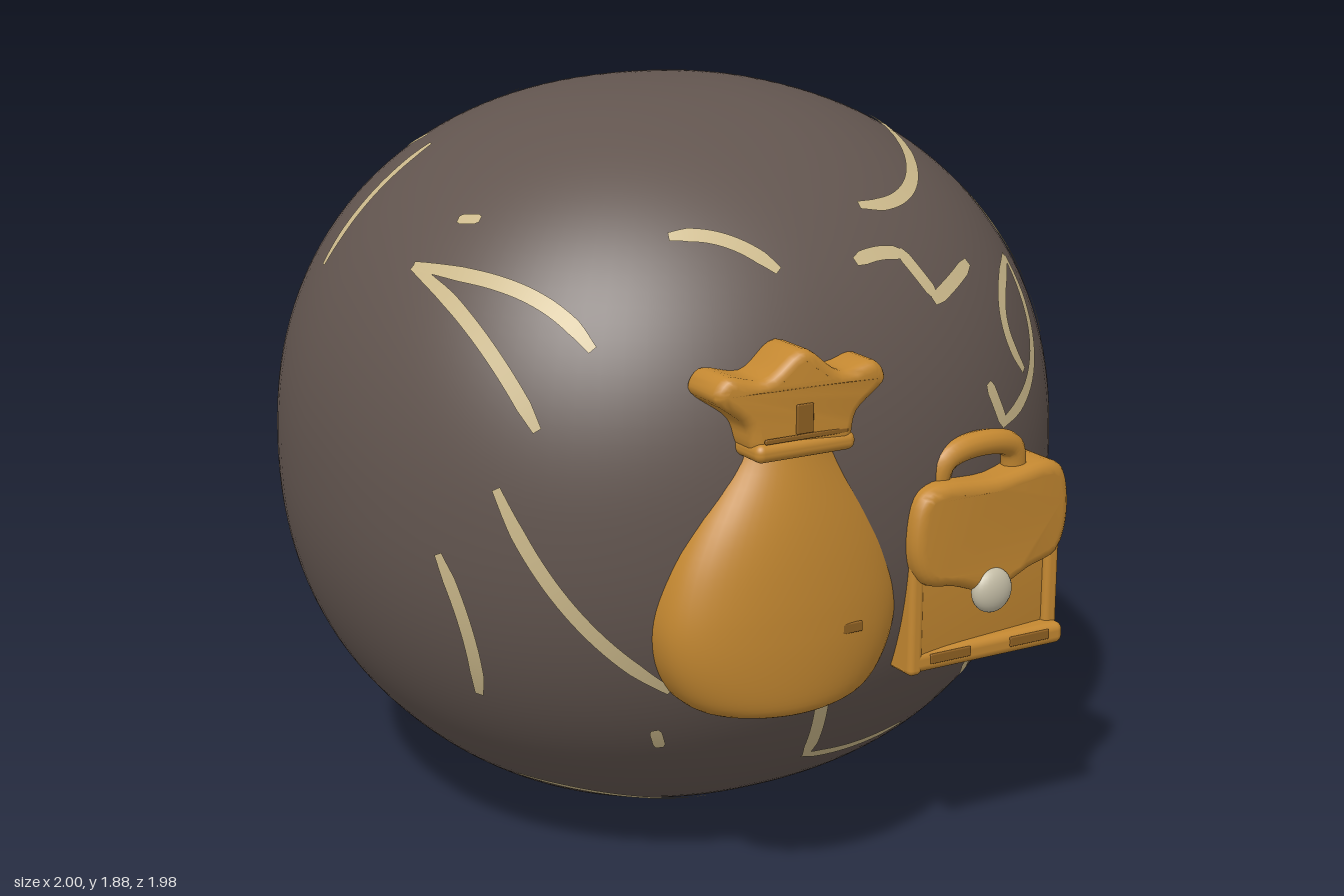
import * as THREE from 'three';
import { mergeVertices, toCreasedNormals } from 'three/addons/utils/BufferGeometryUtils.js';
import { RoundedBoxGeometry } from 'three/addons/geometries/RoundedBoxGeometry.js';

const V = (x, y, z) => new THREE.Vector3(x, y, z);
const material = (name, color, side = THREE.FrontSide) => {
  const m = new THREE.MeshStandardMaterial({ color, side });
  m.name = name;
  return m;
};
const stone = material('stone brown', 0x62554f);
const cream = material('vein cream', 0xcdba8c, THREE.DoubleSide);
const leather = material('ochre', 0xc48831);
const shade = material('dark ochre', 0x8f6022);
const pearl = material('clasp grey', 0xc4bda6);

function mesh(name, geometry, mat, x = 0, y = 0, z = 0) {
  const m = new THREE.Mesh(geometry, mat);
  m.name = name;
  m.position.set(x, y, z);
  return m;
}

// Ball: a slightly squared spheroid around its centre
const CENTRE = V(0, 0.94, -0.03), RADII = V(1, 0.94, 0.965), POWER = 2.2;
const AXES = ['x', 'y', 'z'];
const inside = p => AXES.reduce((sum, a) => sum + Math.abs(p[a] / RADII[a]) ** POWER, 0);
const snap = p => p.multiplyScalar(inside(p) ** (-1 / POWER));
const normalAt = p => V(...AXES.map(a =>
  Math.sign(p[a]) * Math.abs(p[a] / RADII[a]) ** (POWER - 1) / RADII[a])).normalize();

function ballGeometry() {
  const g = new THREE.SphereGeometry(1, 112, 80);
  const pos = g.attributes.position, nor = g.attributes.normal;
  for (let i = 0; i < pos.count; i++) {
    const p = snap(V(pos.getX(i), pos.getY(i), pos.getZ(i)));
    const n = normalAt(p);
    pos.setXYZ(i, p.x, p.y, p.z);
    nor.setXYZ(i, n.x, n.y, n.z);
  }
  return g;
}

// Drops a flat drawing point onto the ball along a direction (azimuth, elevation in degrees)
function project(u, v, { az, el, u0 = 0, v0 = 0 }) {
  const a = az * Math.PI / 180, e = el * Math.PI / 180;
  const right = V(Math.cos(a), 0, -Math.sin(a));
  const up = V(-Math.sin(e) * Math.sin(a), Math.cos(e), -Math.sin(e) * Math.cos(a));
  const dir = V(Math.cos(e) * Math.sin(a), Math.sin(e), Math.cos(e) * Math.cos(a));
  const base = right.multiplyScalar(u - u0).addScaledVector(up, v - v0);
  let lo = 0, hi = 2;
  for (let i = 0; i < 30; i++) {
    const mid = (lo + hi) / 2;
    if (inside(base.clone().addScaledVector(dir, mid)) < 1) lo = mid; else hi = mid;
  }
  return snap(base.addScaledVector(dir, lo));
}

// Thin tapered ribbon on the ball, bowed to the left of its direction by bend
function ribbon([ua, va, ub, vb, bend = 0], side, width = 0.038) {
  const du = ub - ua, dv = vb - va, k = 2 * bend / Math.hypot(du, dv);
  const flat = new THREE.QuadraticBezierCurve(new THREE.Vector2(ua, va),
    new THREE.Vector2((ua + ub) / 2 - dv * k, (va + vb) / 2 + du * k), new THREE.Vector2(ub, vb));
  const curve = new THREE.CatmullRomCurve3(flat.getPoints(6).map(p => project(p.x, p.y, side)), false, 'centripetal');
  const n = 24, pos = [], nor = [], idx = [];
  for (let i = 0; i <= n; i++) {
    const t = i / n, p = snap(curve.getPoint(t)), m = normalAt(p);
    const across = m.clone().cross(curve.getTangent(t)).normalize();
    const w = width / 2 * (0.6 + 0.4 * Math.min(1, 6 * Math.min(t, 1 - t)));
    p.addScaledVector(m, 0.004);
    for (const s of [1, -1]) {
      pos.push(...p.clone().addScaledVector(across, s * w).toArray());
      nor.push(...m.toArray());
    }
    if (i < n) idx.push(2 * i, 2 * i + 1, 2 * i + 3, 2 * i, 2 * i + 3, 2 * i + 2);
  }
  const g = new THREE.BufferGeometry();
  g.setAttribute('position', new THREE.Float32BufferAttribute(pos, 3));
  g.setAttribute('normal', new THREE.Float32BufferAttribute(nor, 3));
  g.setIndex(idx);
  return g;
}

// Veins of one side: bowed lines, and short flecks that all slant the same way
function addVeins(ball, name, side, lines, flecks) {
  for (const line of lines) ball.add(mesh(name + 'Vein', ribbon(line, side), cream));
  for (const [u, v] of flecks)
    ball.add(mesh(name + 'Fleck', ribbon([u - .015, v + .03, u + .015, v - .03], side, .03), cream));
}

function createBall() {
  const ball = new THREE.Group();
  ball.name = 'veinedBall';
  ball.position.copy(CENTRE);
  ball.add(mesh('ball', ballGeometry(), stone));
  addVeins(ball, 'front', { az: 0, el: 0, v0: CENTRE.y }, [
    [-.81, 1.51, -.59, 1.38, .05], [-.81, 1.51, -.72, 1.2], [-.36, 1.61, -.14, 1.53, .03],
    [.15, 1.64, .51, 1.76, -.05], [.07, 1.53, .22, 1.53, .01], [.21, 1.54, .28, 1.43], [.27, 1.42, .44, 1.48],
    [.41, 1.21, .46, 1.1], [.45, 1.1, .65, 1.45, -.11], [.58, 1.2, .65, 1.45, .09],
    [-.8, 1.06, -.45, .56, -.06], [-.89, .88, -.79, .51], [-.06, .5, -.01, .28], [-.02, .28, .3, .29, -.02],
    [-.6, .2, -.12, .08]],
  [[-.44, .41], [.47, .42], [.58, .29]]);
  addVeins(ball, 'left', { az: 90, el: 0, u0: -CENTRE.z, v0: CENTRE.y }, [
    [-.21, 1.35, -.28, 1.02, .02], [-.21, 1.34, -.07, 1.25], [-.08, 1.25, .28, 1.2, .035],
    [-.07, 1.25, -.29, 1.02, .01], [-.2, 1.35, 0, 1.38], [-.22, 1.6, -.57, 1.24],
    [-.2, .8, -.19, .66], [-.19, .66, -.07, .54], [-.49, .28, -.27, .42, .1], [-.27, .42, -.34, .27],
    [-.34, .27, -.26, .13]],
  [[.21, .46], [.28, .59], [-.16, .46]]);
  addVeins(ball, 'top', { az: 0, el: 90, v0: -CENTRE.z },
    [[-.86, .24, -.58, .19]], [[-.32, .51], [-.55, .33], [-.69, -.25], [-.25, .35]]);
  addVeins(ball, 'back', { az: 215, el: 24 },
    [[-.55, -.02, -.33, -.02], [-.4, .13, -.39, -.01], [-.25, .27, -.33, .16]], [[.35, -.13]]);
  addVeins(ball, 'lowerBack', { az: 138, el: -31 },
    [[-.06, -.37, -.01, -.44], [-.02, -.43, .21, -.5], [.2, -.5, .29, -.42]], [[-.34, -.4], [.38, -.15]]);
  return ball;
}

// Bevelled slab from an outline, between two depths, curved back around the ball
function slab(points, z0, z1, bevel) {
  const shape = new THREE.Shape(points.map(p => new THREE.Vector2(...p)));
  const g = new THREE.ExtrudeGeometry(shape, { depth: z1 - z0 - 2 * bevel, bevelSize: bevel,
    bevelThickness: bevel, bevelOffset: -bevel, bevelSegments: 4 });
  const pos = g.attributes.position;
  for (let i = 0; i < pos.count; i++) pos.setZ(i, pos.getZ(i) + z0 + bevel - 0.15 * pos.getX(i) ** 2);
  return toCreasedNormals(g, 0.9);
}
// Closed smooth outline from its right half, mirrored about x = cx
function mirroredOutline(half, cx) {
  const other = half.filter(p => p[0] > 0).reverse().map(([x, y]) => [-x, y]);
  return new THREE.CatmullRomCurve3([...half, ...other].map(([x, y]) => V(cx + x, y, 0)), true, 'centripetal')
    .getPoints(66).slice(0, -1).map(p => [p.x, p.y]);
}

function createSack() {
  const sack = new THREE.Group();
  sack.name = 'sack';
  // Pear-shaped body, flattened in depth
  const profile = [[0, .5], [.14, .505], [.24, .535], [.3, .62], [.322, .73], [.3, .85], [.245, .97], [.14, 1.13], [.12, 1.2]];
  const line = new THREE.SplineCurve(profile.map(p => new THREE.Vector2(...p))).getPoints(40);
  let body = new THREE.LatheGeometry(line.map(p => new THREE.Vector2(Math.max(p.x, 0), p.y)), 56);
  const pos = body.attributes.position;
  for (let i = 0; i < pos.count; i++) {
    const x = pos.getX(i), z = pos.getZ(i), r = Math.hypot(x, z);
    if (r < 1e-5) continue;
    const s = z / r, depth = 0.17 * Math.min(1, r / 0.32) ** 0.35;
    pos.setZ(i, Math.sign(s) * Math.abs(s) ** 0.75 * depth);
  }
  body.deleteAttribute('uv');
  body.deleteAttribute('normal');
  body = mergeVertices(body, 1e-4);
  body.computeVertexNormals();
  sack.add(mesh('sackBody', body, leather, -.19, 0, .82));
  // Ruffled mouth, tie and creases
  const mouth = [[.12, 1.16], [.145, 1.23], [.222, 1.3], [.195, 1.345], [.1, 1.333], [0, 1.395]];
  sack.add(mesh('sackMouth', slab(mirroredOutline(mouth, -.198), .82, .972, .025), leather));
  sack.add(mesh('sackTie', new RoundedBoxGeometry(.27, .045, .15, 4, .02), leather, -.195, 1.165, .9));
  sack.add(mesh('tieCrease', new RoundedBoxGeometry(.225, .012, .008, 2, .003), shade, -.195, 1.193, .967));
  sack.add(mesh('mouthCrease', new RoundedBoxGeometry(.045, .07, .008, 2, .003), shade, -.2, 1.235, .966));
  sack.add(mesh('sackMark', new RoundedBoxGeometry(.06, .025, .008, 2, .003), shade, -.07, .71, .98));
  return sack;
}

function createBriefcase() {
  const bag = new THREE.Group();
  bag.name = 'briefcase';
  bag.add(mesh('caseBody', slab([[.13, .54], [.6, .53], [.595, .98], [.14, .98]], .78, .94, .025), leather));
  // Raised edges around the lower panel
  bag.add(mesh('caseBottomEdge', new RoundedBoxGeometry(.47, .055, .19, 3, .02), leather, .365, .562, .845));
  for (const [x, z] of [[.15, .87], [.58, .84]])
    bag.add(mesh('caseSideEdge', new RoundedBoxGeometry(.04, .3, .14, 3, .015), leather, x, .68, z));
  for (const x of [.25, .49])
    bag.add(mesh('caseMark', new RoundedBoxGeometry(.12, .025, .008, 2, .003), shade, x, .568, .94));
  // Rounded flap, handle and clasp
  const flap = [[0, .71], [.12, .745], [.215, .77], [.252, .85], [.235, .98], [.19, 1.01], [0, 1]];
  bag.add(mesh('caseFlap', slab(mirroredOutline(flap, .37), .78, .975, .03), leather));
  const arch = new THREE.CatmullRomCurve3([V(.22, .97, .89), V(.24, 1.05, .9), V(.29, 1.075, .9),
    V(.41, 1.075, .89), V(.46, 1.05, .88), V(.475, .97, .87)]);
  bag.add(mesh('caseHandle', new THREE.TubeGeometry(arch, 32, .032, 12), leather));
  const clasp = mesh('caseClasp', new THREE.SphereGeometry(.057, 24, 16), pearl, .36, .72, .95);
  clasp.scale.z = .55;
  bag.add(clasp);
  return bag;
}

export function createModel() {
  const model = new THREE.Group();
  model.name = 'ballWithBags';
  model.add(createBall(), createSack(), createBriefcase());
  return model;
}
